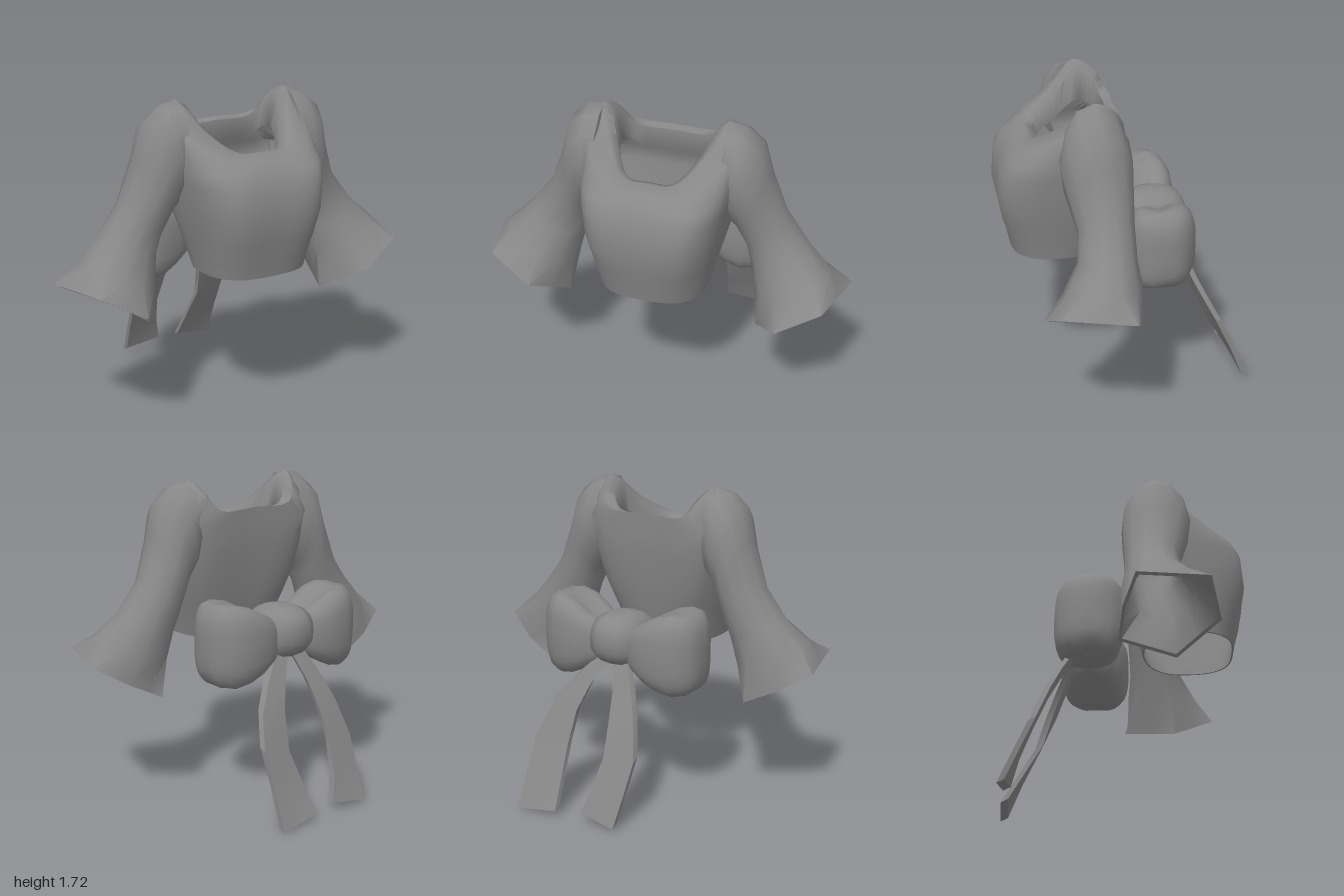
import * as THREE from 'three';
import { toCreasedNormals } from 'three/addons/utils/BufferGeometryUtils.js';

const material = new THREE.MeshStandardMaterial({ color: 0x878787, side: THREE.DoubleSide });
const V = (x, y, z) => new THREE.Vector3(x, y, z);

// Skins closed rings of equal point count; caps fan to the ring centre.
function loft(name, rings, { capStart = false, capEnd = false, mirror = false, crease = 0.9 } = {}) {
  if (mirror) rings = rings.map(r => r.map(p => V(-p.x, p.y, p.z)).reverse());
  const n = rings[0].length, pts = rings.flat(), index = [];
  for (let i = 0; i < rings.length - 1; i++) {
    for (let j = 0; j < n; j++) {
      const a = i * n + j, b = i * n + (j + 1) % n;
      index.push(a, b, b + n, a, b + n, a + n);
    }
  }
  const cap = (i, flip) => {
    const c = pts.length;
    pts.push(centre(rings[i]));
    for (let j = 0; j < n; j++) {
      const a = i * n + j, b = i * n + (j + 1) % n;
      index.push(...(flip ? [b, a, c] : [a, b, c]));
    }
  };
  if (capStart) cap(0, true);
  if (capEnd) cap(rings.length - 1, false);
  const g = new THREE.BufferGeometry().setFromPoints(pts);
  g.setIndex(index);
  const mesh = new THREE.Mesh(toCreasedNormals(g, crease), material);
  mesh.name = name;
  return mesh;
}

const centre = ring => ring.reduce((s, p) => s.add(p), V(0, 0, 0)).divideScalar(ring.length);
const inset = (ring, k) => {
  const c = centre(ring);
  return ring.map(p => p.clone().sub(c).multiplyScalar(k).add(c));
};

// Symmetric body ring through half a set of control points, back to front.
function bodyRing(half) {
  const pts = half.map(p => V(...p));
  const other = half.slice(1, -1).reverse().map(([x, y, z]) => V(-x, y, z));
  return new THREE.CatmullRomCurve3([...pts, ...other], true, 'centripetal').getPoints(48).slice(0, 48).reverse();
}

function bodice() {
  // y, half width, back z, front z, roundness
  const levels = [
    [0.84, 0.29, 0.12, 0.62, 1], [0.92, 0.305, 0.10, 0.635, 0.8], [1.03, 0.33, 0.075, 0.66, 0.5],
    [1.16, 0.36, 0.055, 0.68, 0.2], [1.33, 0.385, 0.035, 0.66, 0], [1.40, 0.395, 0.03, 0.615, 0],
  ];
  const outer = levels.map(([y, w, b, f, r]) => {
    const d = f - b;
    return bodyRing([[0, y, b], [w * (0.85 - 0.25 * r), y, b + d * (0.02 + 0.06 * r)],
      [w * (1 - 0.07 * r), y, b + d * (0.18 + 0.08 * r)], [w, y, b + d * 0.48],
      [w * (0.89 + 0.03 * r), y, b + d * (0.82 - 0.05 * r)], [w * (0.64 - 0.02 * r), y, f - d * (0.01 + 0.04 * r)], [0, y, f]]);
  });
  // shoulder ring and square neckline
  outer.push(bodyRing([[0, 1.48, 0.028], [0.34, 1.49, 0.03], [0.41, 1.60, 0.09], [0.42, 1.66, 0.2],
    [0.35, 1.545, 0.385], [0.21, 1.455, 0.54], [0, 1.445, 0.575]]));
  outer.push(bodyRing([[0, 1.565, 0.03], [0.24, 1.57, 0.03], [0.305, 1.67, 0.09], [0.335, 1.724, 0.2],
    [0.25, 1.58, 0.35], [0.14, 1.483, 0.495], [0, 1.475, 0.505]]));
  // neck facing turned to the inside
  const lip = [
    [[0, 1.555, 0.075], [0.2, 1.56, 0.075], [0.265, 1.65, 0.12], [0.28, 1.69, 0.2],
      [0.215, 1.56, 0.32], [0.115, 1.465, 0.455], [0, 1.46, 0.46]],
    [[0, 1.45, 0.085], [0.2, 1.46, 0.085], [0.24, 1.5, 0.13], [0.245, 1.52, 0.2],
      [0.2, 1.45, 0.32], [0.105, 1.39, 0.44], [0, 1.385, 0.445]],
  ].map(bodyRing);
  const lining = outer.slice(0, 6).map(r => {
    const c = centre(r);
    return r.map(p => V(p.x * 0.965, p.y, c.z + (p.z - c.z) * 0.965));
  });
  return loft('bodice', [lining[0], ...outer, ...lip, ...lining.reverse()], { crease: 1.1 });
}

function sleeve(name, mirror) {
  // upper point x,y; lower point x,y; back z, front z
  const sections = [
    [0.32, 1.52, 0.33, 1.25, 0.07, 0.33], [0.33, 1.722, 0.37, 1.19, 0.035, 0.37],
    [0.42, 1.705, 0.385, 1.16, 0.018, 0.39], [0.51, 1.63, 0.40, 1.14, 0.015, 0.385],
    [0.56, 1.45, 0.415, 1.10, 0.02, 0.36], [0.65, 1.22, 0.44, 1.03, 0.03, 0.325],
    [0.78, 1.05, 0.47, 0.93, 0.035, 0.34], [0.90, 0.935, 0.505, 0.78, 0.02, 0.43],
  ];
  const outer = sections.map(([ax, ay, bx, by, zb, zf], i) => Array.from({ length: 12 }, (_, j) => {
    const a = j * Math.PI / 6 - 0.045 * i, u = Math.cos(a), v = Math.sin(a);
    return V((ax + bx) / 2 + u * (ax - bx) / 2, (ay + by) / 2 + u * (ay - by) / 2,
      (zb + zf) / 2 + v * (zf - zb) / 2);
  }));
  // six-cornered cuff opening
  const hex = [[1, 0.82, 0.1], [0.915, 0.84, 0.47], [0.685, 0.71, 0.525], [0.53, 0.575, 0.3],
    [0.645, 0.62, 0.005], [0.83, 0.715, 0.03]].map(p => V(...p));
  outer.push(hex.flatMap((p, i) => [p, p.clone().lerp(hex[(i + 1) % 6], 0.5)]));
  const inner = outer.slice(4).map((r, i) => inset(r, i === 4 ? 0.92 : 0.82)).reverse();
  return loft(name, [...outer, ...inner], { capEnd: true, mirror });
}

// Rounded-box cross-sections along x: x, low y, high y, back z, front z, dent
function puff(name, sections, power, mirror = false) {
  const pw = t => Math.sign(t) * Math.abs(t) ** (2 / power);
  const rings = sections.map(([x, y0, y1, z0, z1, dent = 0]) => Array.from({ length: 28 }, (_, j) => {
    const a = j * Math.PI / 14, u = pw(Math.cos(a)), v = pw(Math.sin(a));
    const pinch = 1 - dent * Math.exp(-v * v * 9);
    return V(x, (y0 + y1) / 2 + u * pinch * (y1 - y0) / 2, (z0 + z1) / 2 + v * (z1 - z0) / 2);
  }));
  return loft(name, rings, { capStart: true, capEnd: true, mirror, crease: 1.3 });
}

const loopSections = [
  [0.06, 0.83, 0.99, -0.27, -0.09], [0.12, 0.765, 1.03, -0.315, -0.04, 0.2],
  [0.20, 0.715, 1.075, -0.345, 0, 0.32], [0.28, 0.675, 1.12, -0.35, 0.025, 0.26],
  [0.36, 0.66, 1.135, -0.34, 0.035, 0.12], [0.42, 0.675, 1.125, -0.31, 0.015, 0.03],
  [0.465, 0.715, 1.085, -0.265, -0.04], [0.483, 0.77, 1.02, -0.225, -0.09], [0.488, 0.84, 0.95, -0.19, -0.13],
];

// Flat ribbon: outer edge x, y, z; inner edge x, y, z
function tail(name, rows, mirror) {
  const t = 0.02;
  const rings = rows.map(([xo, yo, zo, xi, yi, zi]) => [
    V(xo, yo - t * 0.5, zo - t), V(xo, yo + t * 0.5, zo + t),
    V(xi, yi + t * 0.5, zi + t), V(xi, yi - t * 0.5, zi - t)]);
  return loft(name, rings, { capStart: true, capEnd: true, mirror, crease: 0.4 });
}

export function createModel() {
  const group = new THREE.Group();
  group.name = 'blouse';
  group.add(bodice(), sleeve('leftSleeve', false), sleeve('rightSleeve', true));

  const bow = new THREE.Group();
  bow.name = 'bow';
  bow.add(puff('leftBowLoop', loopSections, 3.2), puff('rightBowLoop', loopSections, 3.2, true));
  bow.add(puff('bowKnot', [
    [-0.14, 0.86, 0.99, -0.27, -0.09], [-0.12, 0.81, 1.04, -0.325, -0.035],
    [-0.06, 0.785, 1.065, -0.36, -0.005], [0, 0.78, 1.07, -0.365, 0],
    [0.06, 0.785, 1.065, -0.36, -0.005], [0.12, 0.81, 1.04, -0.325, -0.035],
    [0.14, 0.86, 0.99, -0.27, -0.09]], 2.5));

  // hanging ribbon ends
  bow.add(tail('leftTail', [
    [0.11, 0.83, -0.26, 0.02, 0.83, -0.26], [0.22, 0.69, -0.335, 0.10, 0.69, -0.335],
    [0.30, 0.57, -0.395, 0.15, 0.55, -0.395], [0.36, 0.40, -0.485, 0.17, 0.36, -0.455],
    [0.362, 0.2, -0.58, 0.15, 0.2, -0.545], [0.365, 0.012, -0.655, 0.13, 0.045, -0.63]], false));
  bow.add(tail('rightTail', [
    [0.09, 0.83, -0.26, 0.0, 0.83, -0.26], [0.165, 0.68, -0.33, 0.05, 0.68, -0.34],
    [0.215, 0.55, -0.385, 0.075, 0.53, -0.415], [0.262, 0.36, -0.455, 0.09, 0.36, -0.485],
    [0.25, 0.19, -0.535, 0.06, 0.2, -0.555], [0.235, 0.03, -0.61, 0.02, 0.06, -0.6]], true));
  group.add(bow);
  return group;
}
